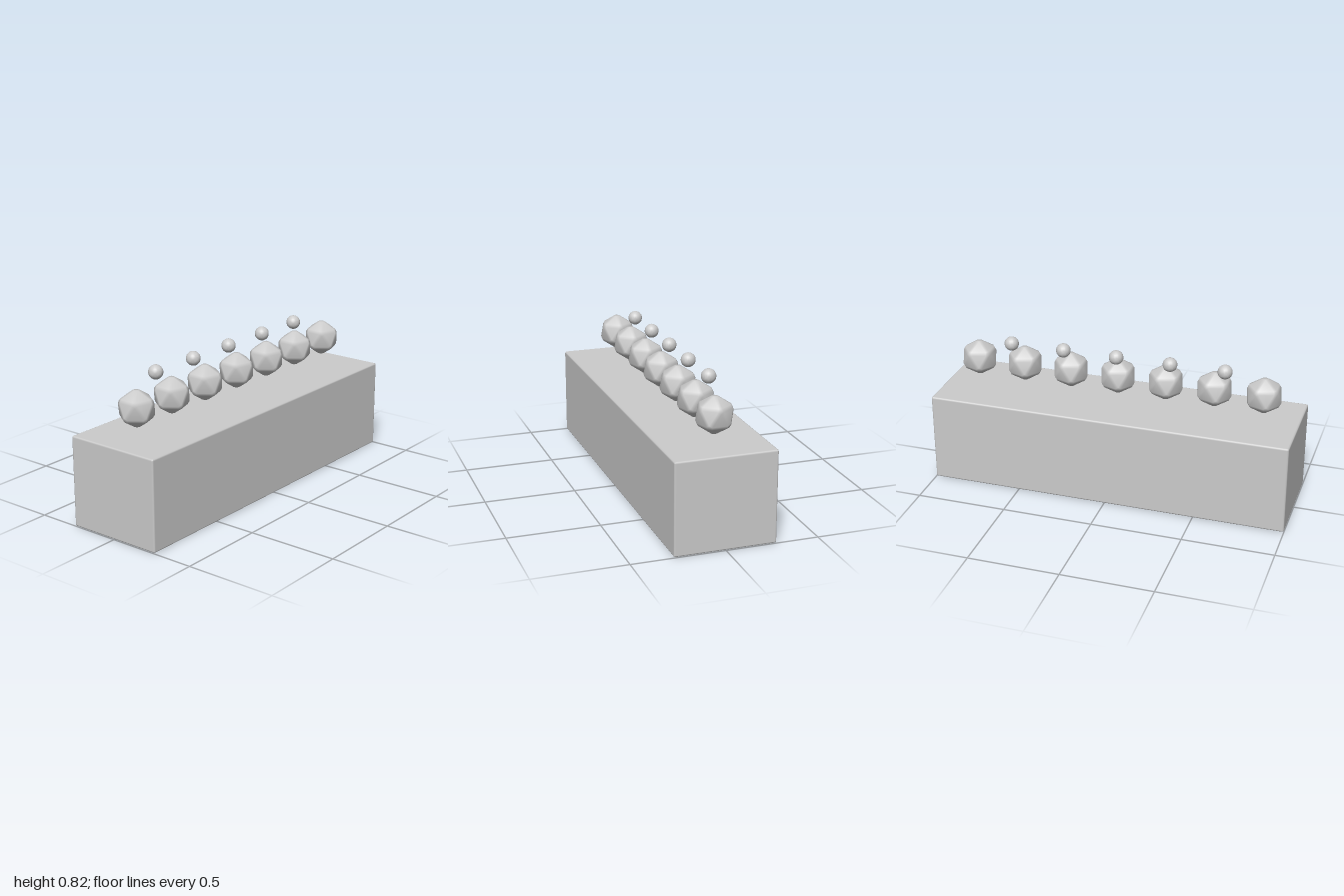
import * as THREE from 'three';
import { mergeVertices } from 'three/addons/utils/BufferGeometryUtils.js';
import { RoundedBoxGeometry } from 'three/addons/geometries/RoundedBoxGeometry.js';
import { ConvexGeometry } from 'three/addons/geometries/ConvexGeometry.js';

const material = new THREE.MeshStandardMaterial({ color: 0xcccccc });

// Icosphere standing on a vertex, with every edge and corner bevelled:
// each triangle shrinks toward its centre and the gaps are bridged by a hull.
function bevelledIcosphere(radius, detail, shrink) {
  const ico = new THREE.IcosahedronGeometry(radius, detail);
  ico.rotateX(-Math.atan2(1 + Math.sqrt(5), 2)).rotateY(Math.PI / 2);
  const pos = ico.attributes.position;
  const points = [];
  for (let i = 0; i < pos.count; i += 3) {
    const corners = [0, 1, 2].map((k) => new THREE.Vector3().fromBufferAttribute(pos, i + k));
    const centre = new THREE.Vector3();
    corners.forEach((c) => centre.addScaledVector(c, 1 / 3));
    corners.forEach((c) => points.push(c.lerp(centre, shrink)));
  }
  const hull = new ConvexGeometry(points);
  hull.deleteAttribute('normal');
  const smooth = mergeVertices(hull, 1e-5);
  smooth.computeVertexNormals();
  return smooth;
}

// Evenly spaced row of identical parts along x
function addRow(parent, name, geometry, count, startX, step, y, z) {
  const row = new THREE.Group();
  row.name = name + 'Row';
  for (let i = 0; i < count; i++) {
    const mesh = new THREE.Mesh(geometry, material);
    mesh.name = name;
    mesh.position.set(startX + i * step, y, z);
    row.add(mesh);
  }
  parent.add(row);
}

export function createModel() {
  const model = new THREE.Group();
  model.name = 'planterBox';

  // Long box with narrow bevelled edges
  const box = new THREE.Mesh(new RoundedBoxGeometry(2, 0.5, 0.547, 1, 0.01), material);
  box.name = 'box';
  box.position.y = 0.25;
  model.add(box);

  // Large faceted clumps above the box
  addRow(model, 'clump', bevelledIcosphere(0.11, 0, 0.31), 7, -0.805, 0.27, 0.653, 0);

  // Small round buds above and behind the clumps
  addRow(model, 'bud', bevelledIcosphere(0.0415, 1, 0.6), 5, -0.6, 0.3, 0.783, -0.05);

  return model;
}
